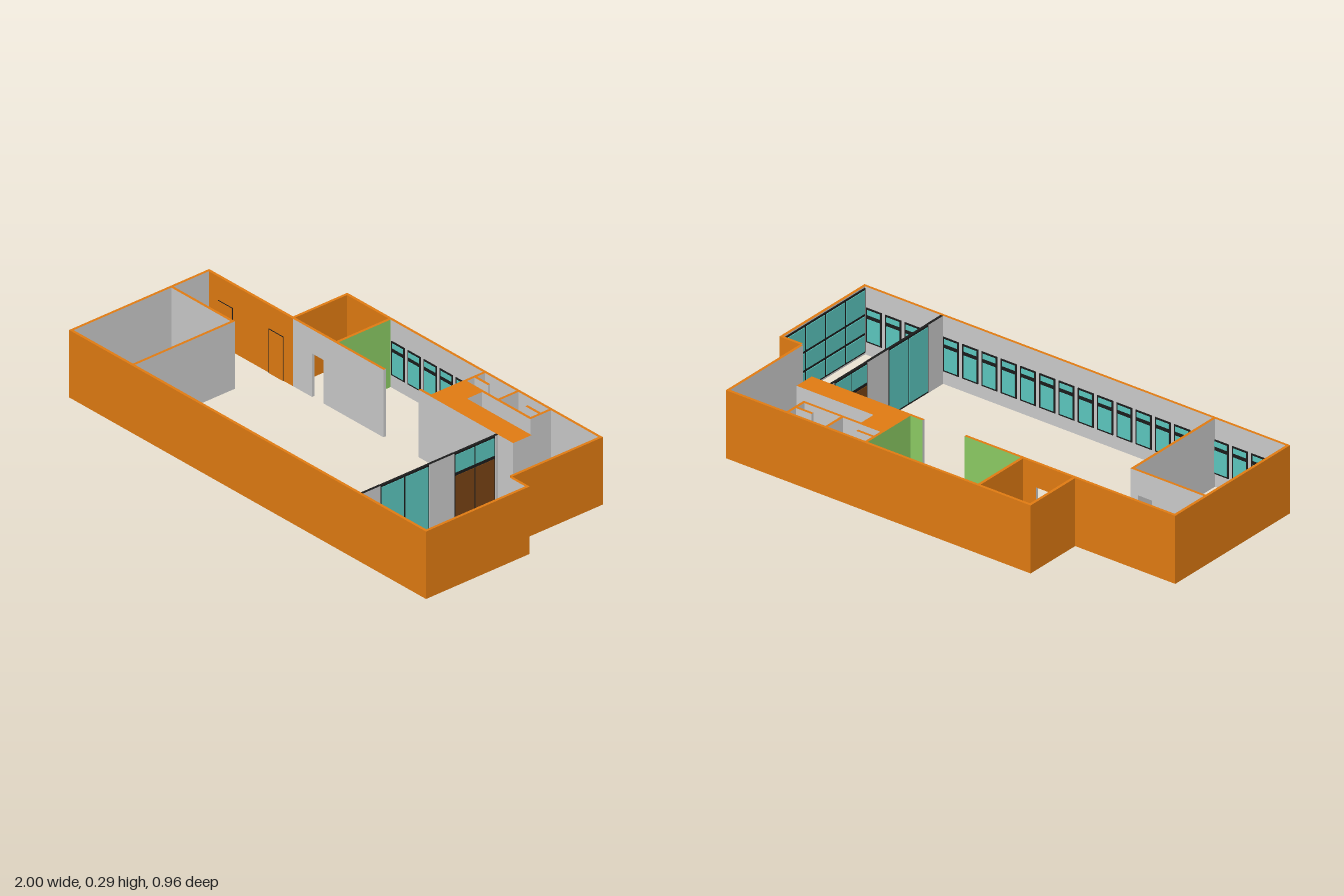
import * as THREE from 'three';

const H = 0.287, T = 0.012, DOOR = 0.185;
const mat = (color) => new THREE.MeshStandardMaterial({ color });

export function createModel() {
  const model = new THREE.Group();
  const grey = mat(0xcccccc), orange = mat(0xe27c12), green = mat(0x8ccc64);
  const glass = mat(0x5cc8c0), dark = mat(0x1c1c1c), brown = mat(0x7a4414);

  // Box from its limits; faces are [+x, -x, +y, -y, +z, -z] materials, or a single one
  function slab(name, x0, x1, y0, y1, z0, z1, faces, parent = model) {
    const mesh = new THREE.Mesh(new THREE.BoxGeometry(x1 - x0, y1 - y0, z1 - z0), faces);
    mesh.position.set((x0 + x1) / 2, (y0 + y1) / 2, (z0 + z1) / 2);
    mesh.name = name;
    parent.add(mesh);
    return mesh;
  }
  // Wall running along x, with front (+z) and back (-z) finishes
  function wallX(name, x0, x1, z, front, back, y0 = 0, ends = grey) {
    slab(name, x0, x1, y0, H, z - T / 2, z + T / 2, [ends, ends, orange, orange, front, back]);
  }
  // Wall running along z, with +x and -x finishes
  function wallZ(name, x, z0, z1, pos, neg, ends = grey) {
    slab(name, x - T / 2, x + T / 2, 0, H, z0, z1, [pos, neg, orange, orange, ends, ends]);
  }

  // Outer shell, orange outside and lined inside
  wallX('frontWall', -1, 1, 0.472, orange, grey, 0, orange);
  wallZ('leftWall', 0.994, -0.032, 0.466, orange, grey, orange);
  wallX('stepWall', 0.9, 0.988, -0.026, grey, orange);
  wallZ('leftRearWall', 0.896, -0.472, -0.032, orange, grey, orange);
  wallZ('rightWall', -0.994, -0.211, 0.466, grey, orange, orange);
  wallX('rearWallStore', -0.53, -0.28, -0.472, orange, orange, 0, orange);
  wallX('rearWallMeetingRoom', -0.28, 0.25, -0.472, grey, orange, 0, orange);
  wallX('rearWallWashrooms', 0.25, 0.902, -0.472, grey, orange, 0, orange);
  wallZ('storeOuterWall', -0.524, -0.466, -0.211, orange, orange, orange);
  wallX('rearRightWall', -0.988, -0.518, -0.205, orange, orange);

  // Doors on the rear right wall
  for (const x of [-0.895, -0.61]) {
    const door = new THREE.Group();
    door.name = 'rearDoor';
    slab('doorFrame', x - 0.041, x + 0.041, 0, DOOR + 0.003, -0.2, -0.1975, dark, door);
    slab('doorLeaf', x - 0.038, x + 0.038, 0, DOOR, -0.2, -0.196, orange, door);
    model.add(door);
  }

  // Corridor wall with a doorway into the store
  wallX('storeWall', -0.518, -0.41, -0.205, grey, orange);
  wallX('storeLintel', -0.41, -0.345, -0.205, grey, orange, DOOR);
  wallX('storeWall', -0.345, -0.28, -0.205, grey, orange);
  wallX('meetingRoomWall', -0.28, -0.01, -0.205, grey, green);
  wallX('meetingRoomReturn', 0.187, 0.244, -0.205, grey, green);
  wallZ('meetingRoomRightWall', -0.28, -0.466, -0.211, green, orange);
  wallZ('meetingRoomLeftWall', 0.25, -0.466, -0.199, grey, green);

  // Corner office with a doorway
  wallZ('officeSideWall', -0.65, -0.026, 0.466, grey, grey);
  wallX('officeRearWall', -0.988, -0.745, -0.02, grey, grey);
  wallX('officeLintel', -0.745, -0.68, -0.02, grey, grey, DOOR);
  wallX('officeRearWall', -0.68, -0.656, -0.02, grey, grey);

  // Solid L-shaped core
  const core = [grey, grey, orange, orange, grey, grey];
  slab('coreLong', 0.256, 0.717, 0, H, -0.29, -0.199, core);
  slab('coreShort', 0.256, 0.355, 0, H, -0.364, -0.29, core);

  // Washrooms
  wallX('washroomFrontWall', 0.256, 0.625, -0.37, grey, grey);
  wallZ('washroomDivider', 0.437, -0.466, -0.376, grey, grey);
  wallZ('washroomSideWall', 0.619, -0.466, -0.376, grey, grey);
  wallX('cubicleScreen', 0.256, 0.33, -0.42, grey, grey);
  wallX('cubicleScreen', 0.54, 0.613, -0.42, grey, grey);

  // Window: dark frame, lower pane and transom pane; dir is the side it faces along z
  function windowAt(x, z, dir) {
    const w = new THREE.Group();
    w.name = 'window';
    w.position.set(x, 0, z);
    if (dir < 0) w.rotation.y = Math.PI;
    slab('windowFrame', -0.037, 0.037, 0.055, 0.2, 0, 0.003, dark, w);
    slab('lowerPane', -0.03, 0.03, 0.062, 0.155, 0.001, 0.005, glass, w);
    slab('upperPane', -0.03, 0.03, 0.172, 0.193, 0.001, 0.005, glass, w);
    model.add(w);
  }
  for (let i = 0; i < 22; i++) windowAt(0.945 - i * 0.0905, 0.466, -1);
  for (let i = 0; i < 5; i++) windowAt(-0.23 + i * 0.09, -0.466, 1);

  // Glazed lining of the left wall
  const glazing = new THREE.Group();
  glazing.name = 'leftGlazing';
  slab('glazingFrame', 0.984, 0.988, 0.01, H - 0.005, -0.018, 0.464, dark, glazing);
  for (let i = 0; i < 4; i++) {
    const z = -0.013 + i * 0.12;
    for (const [y0, y1] of [[0.018, 0.085], [0.097, 0.165], [0.177, 0.275]])
      slab('glazingPane', 0.981, 0.986, y0, y1, z, z + 0.111, glass, glazing);
  }
  model.add(glazing);

  // Partition with glass panels and a double door
  const partition = new THREE.Group();
  partition.name = 'glassPartition';
  const px = 0.627;
  const part = (name, t, y0, y1, z0, z1, m) =>
    slab(name, px - t / 2, px + t / 2, y0, y1, z0, z1, m, partition);
  const post = [grey, grey, dark, dark, grey, grey];
  part('partitionWall', T, 0, H, 0.38, 0.466, post);
  part('partitionFrame', 0.01, 0, H, 0.14, 0.38, dark);
  for (const z of [0.145, 0.264]) part('glassPanel', 0.014, 0.008, H - 0.008, z, z + 0.111, glass);
  part('partitionWall', T, 0, H, 0.015, 0.14, post);
  part('doorFrame', 0.01, 0, H, -0.185, 0.015, dark);
  for (const z of [-0.179, -0.082]) {
    part('doorLeaf', 0.014, 0, 0.19, z, z + 0.091, brown);
    part('transomPane', 0.014, 0.205, H - 0.008, z, z + 0.091, glass);
  }
  part('partitionWall', T, 0, H, -0.199, -0.185, post);
  model.add(partition);

  return model;
}
